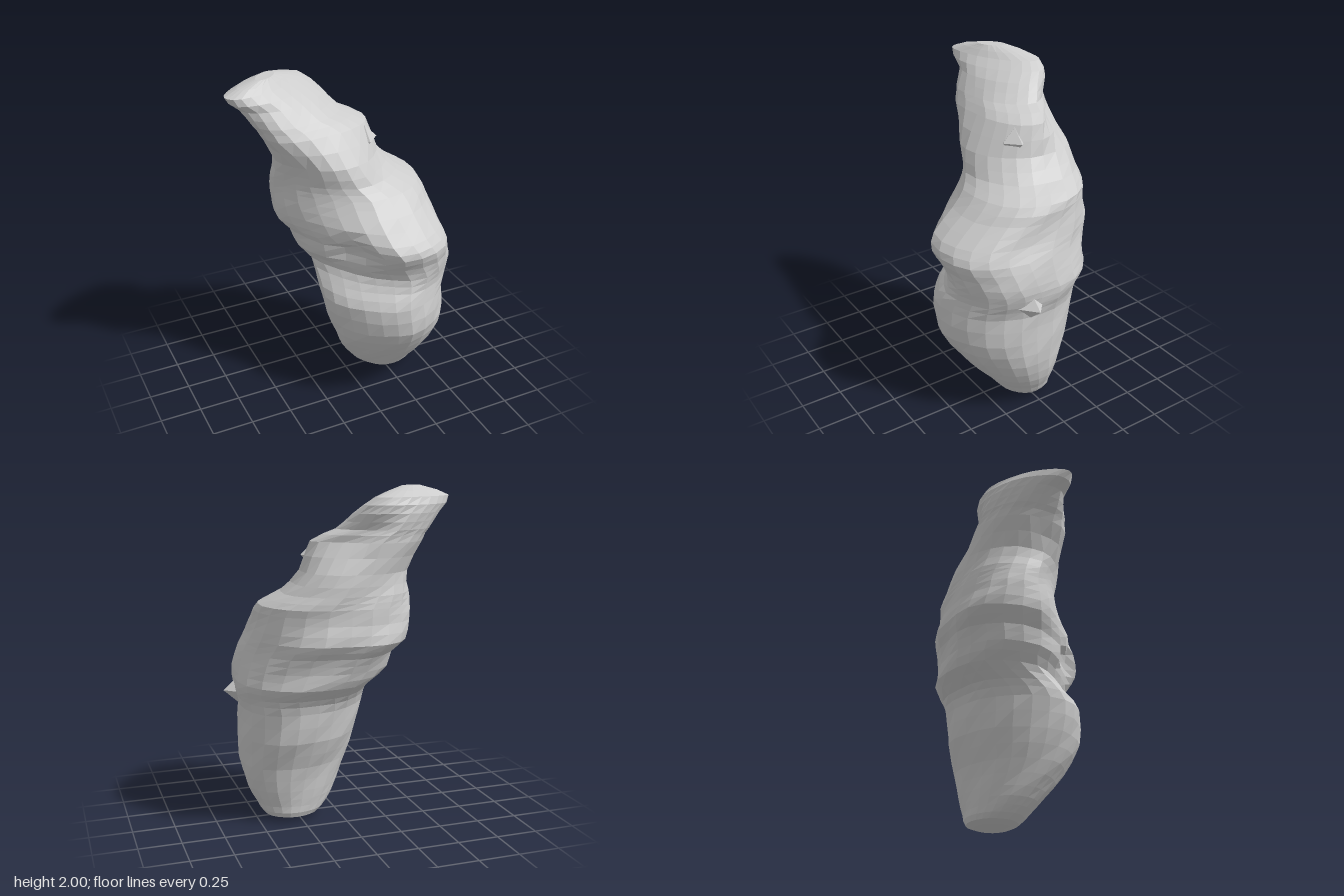
import * as THREE from 'three';

const SIDES = 24;

// Key outlines from the foot up: y, xMin, xMax, zMin, zMax
const KEYS = [
  [0, 0.22, 0.35, -0.06, 0.06],
  [0.03, 0.12, 0.45, -0.16, 0.14],
  [0.1, 0.04, 0.49, -0.17, 0.2],
  [0.2, -0.03, 0.54, -0.18, 0.29],
  [0.35, -0.11, 0.575, -0.2, 0.41],
  [0.52, -0.17, 0.58, -0.26, 0.51],
  [0.7, -0.21, 0.575, -0.28, 0.51],
  [0.79, -0.2, 0.6, -0.32, 0.47],
  [0.87, -0.2, 0.61, -0.42, 0.46],
  [0.96, -0.28, 0.59, -0.44, 0.48],
  [1.05, -0.3, 0.555, -0.47, 0.52],
  [1.13, -0.37, 0.52, -0.52, 0.48],
  [1.24, -0.39, 0.5, -0.49, 0.34],
  [1.33, -0.39, 0.48, -0.48, 0.25],
  [1.4, -0.39, 0.36, -0.47, 0.19],
  [1.52, -0.39, 0.25, -0.455, 0.16],
  [1.69, -0.46, 0.2, -0.45, 0.04],
  [1.76, -0.51, 0.06, -0.45, 0],
  [1.85, -0.58, -0.02, -0.45, -0.05],
  [1.94, -0.66, -0.12, -0.43, -0.09],
  [2, -0.46, -0.32, -0.3, -0.17],
];

// How the oval leans with height: y, skew, shift of its flanks to the back left
const LEAN = [
  [0, 0, 0],
  [0.3, -0.1, 0.02],
  [0.72, -0.1, 0.03],
  [0.9, 0.2, 0.03],
  [1.13, 0.25, 0.05],
  [1.3, 0.2, 0.03],
  [1.5, -0.06, 0.03],
  [1.69, 0.05, -0.05],
  [1.85, -0.3, 0],
  [1.94, -0.7, 0],
  [2.01, -0.7, 0],
];

function leanAt(y) {
  const i = Math.max(1, LEAN.findIndex((row) => row[0] > y));
  const [a, b] = [LEAN[i - 1], LEAN[i]];
  const f = (y - a[0]) / (b[0] - a[0]);
  return [1, 2].map((c) => THREE.MathUtils.lerp(a[c], b[c], f));
}

// Two rails through the low and high corners of the key outlines
const rail = (points) => new THREE.CatmullRomCurve3(points, false, 'catmullrom');
const lowRail = rail(KEYS.map(([y, x, , z]) => new THREE.Vector3(x, y, z)));
const highRail = rail(KEYS.map(([y, , x, , z]) => new THREE.Vector3(x, y, z)));
const ROWS = 2 * (KEYS.length - 1);

// Small pit in the front: centre, reach, offset
const PIT = { at: new THREE.Vector3(-0.1, 1.03, 0.3), reach: 0.13, push: new THREE.Vector3(0.05, 0, -0.07) };

// One ring: a skewed oval between the rails
function ring(row) {
  const low = lowRail.getPoint(row / ROWS);
  const high = highRail.getPoint(row / ROWS);
  const centre = low.clone().add(high).multiplyScalar(0.5);
  const radius = high.clone().sub(low).multiplyScalar(0.5);
  const y = centre.y;
  const [skew, shift] = leanAt(y);
  const points = [];
  for (let j = 0; j < SIDES; j++) {
    const t = (j / SIDES) * Math.PI * 2;
    // Gentle surface lumps
    const k = 1 + 0.018 * Math.sin(5 * t + 9 * y) * Math.sin(13 * y + 2 * t);
    const flank = shift * Math.max(0, -Math.sin(2 * t));
    const p = new THREE.Vector3(
      centre.x + radius.x * Math.cos(t) * k + flank,
      y,
      centre.z + radius.z * Math.sin(t + skew) * k - flank
    );
    p.addScaledVector(PIT.push, Math.max(0, 1 - p.distanceTo(PIT.at) / PIT.reach));
    points.push(p);
  }
  return { centre, points };
}

function createBodyGeometry() {
  const rings = Array.from({ length: ROWS + 1 }, (_, row) => ring(row));
  const vertices = rings.flatMap((r) => r.points);
  const foot = vertices.length, top = foot + 1;
  vertices.push(rings[0].centre, rings[ROWS].centre);

  const index = [];
  for (let j = 0; j < SIDES; j++) {
    const n = (j + 1) % SIDES;
    // Walls between neighbouring rings
    for (let i = 0; i < ROWS; i++) {
      const a = i * SIDES + j, b = i * SIDES + n;
      index.push(a, a + SIDES, b, b, a + SIDES, b + SIDES);
    }
    // End caps
    index.push(foot, j, n, top, ROWS * SIDES + n, ROWS * SIDES + j);
  }

  const geometry = new THREE.BufferGeometry().setFromPoints(vertices);
  geometry.setIndex(index);
  geometry.computeVertexNormals();
  return geometry;
}

export function createModel() {
  const group = new THREE.Group();
  group.name = 'lumpyRock';
  const material = new THREE.MeshStandardMaterial({ color: 0xcccccc, flatShading: true });
  const add = (name, geometry) => {
    const mesh = new THREE.Mesh(geometry, material);
    mesh.name = name;
    group.add(mesh);
    return mesh;
  };

  add('body', createBodyGeometry());

  // Small pointed knob on the side
  const knob = add('sideKnob', new THREE.ConeGeometry(0.09, 0.1, 4));
  knob.rotation.z = -Math.PI / 2;
  knob.position.set(0.61, 0.78, 0.13);

  // Small nub on the shoulder below the hooked tip
  const nub = add('shoulderNub', new THREE.OctahedronGeometry(0.08));
  nub.position.set(0.14, 1.6, -0.04);

  return group;
}
